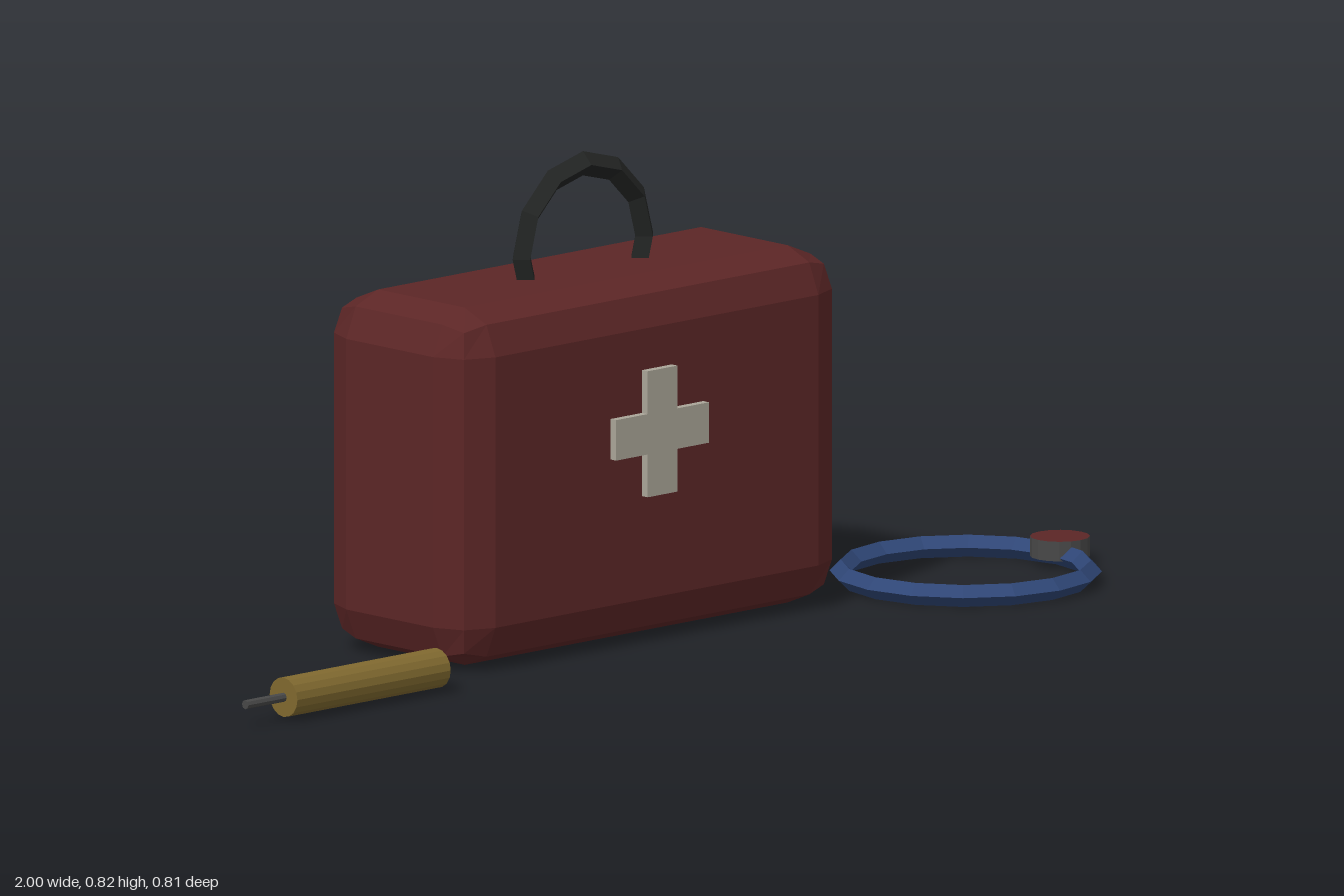
import * as THREE from 'three';
import { RoundedBoxGeometry } from 'three/addons/geometries/RoundedBoxGeometry.js';

function paint(name, color) {
  const m = new THREE.MeshStandardMaterial({ color, flatShading: true });
  m.name = name;
  return m;
}

export function createModel() {
  const red = paint('dark red', 0x5c2626);
  const cream = paint('cream', 0xaaa598);
  const black = paint('black', 0x222423);
  const brass = paint('brass', 0x80692f);
  const grey = paint('dark grey', 0x484848);
  const blue = paint('blue', 0x2f4676);

  const model = new THREE.Group();
  model.name = 'medicalKit';
  const add = (name, geometry, material, x, y, z, parent = model) => {
    const mesh = new THREE.Mesh(geometry, material);
    mesh.name = name;
    mesh.position.set(x, y, z);
    parent.add(mesh);
    return mesh;
  };
  const group = (name) => {
    const g = new THREE.Group();
    g.name = name;
    model.add(g);
    return g;
  };

  // Case with chamfered edges, and its ring handle sunk into the top
  add('caseBody', new RoundedBoxGeometry(0.908, 0.618, 0.362, 1, 0.075), red, 0, 0.312, -0.009);
  add('handle', new THREE.TorusGeometry(0.144, 0.021, 4, 12), black, 0, 0.657, -0.009);

  // Cross on the front, cut as one outline
  const w = 0.035, l = 0.109;
  const cross = new THREE.Shape([
    [w, l], [-w, l], [-w, w], [-l, w], [-l, -w], [-w, -w],
    [-w, -l], [w, -l], [w, -w], [l, -w], [l, w], [w, w],
  ].map(([x, y]) => new THREE.Vector2(x, y)));
  add('cross', new THREE.ExtrudeGeometry(cross, { depth: 0.018, bevelEnabled: false }),
    cream, 0, 0.366, 0.168);

  // Syringe lying to the case's right
  const syringe = group('syringe');
  add('syringeBarrel', new THREE.CylinderGeometry(0.034, 0.034, 0.36, 16).rotateZ(Math.PI / 2),
    brass, -0.73, 0.039, 0.207, syringe);
  add('syringeNeedle', new THREE.CylinderGeometry(0.008, 0.008, 0.1, 8).rotateZ(Math.PI / 2),
    grey, -0.95, 0.039, 0.207, syringe);

  // Stethoscope: looped tube with a red-faced chest piece
  const stethoscope = group('stethoscope');
  add('stethoscopeTube', new THREE.TorusGeometry(0.212, 0.019, 4, 16).rotateX(Math.PI / 2),
    blue, 0.727, 0.019, 0.17, stethoscope);
  add('chestPiece', new THREE.CylinderGeometry(0.051, 0.051, 0.034, 16),
    [grey, red, red], 0.948, 0.031, 0.17, stethoscope);

  // Small bandage pack behind the case
  add('bandagePack', new RoundedBoxGeometry(0.142, 0.05, 0.068, 1, 0.007), cream, 0.435, 0.03, -0.375);

  return model;
}
